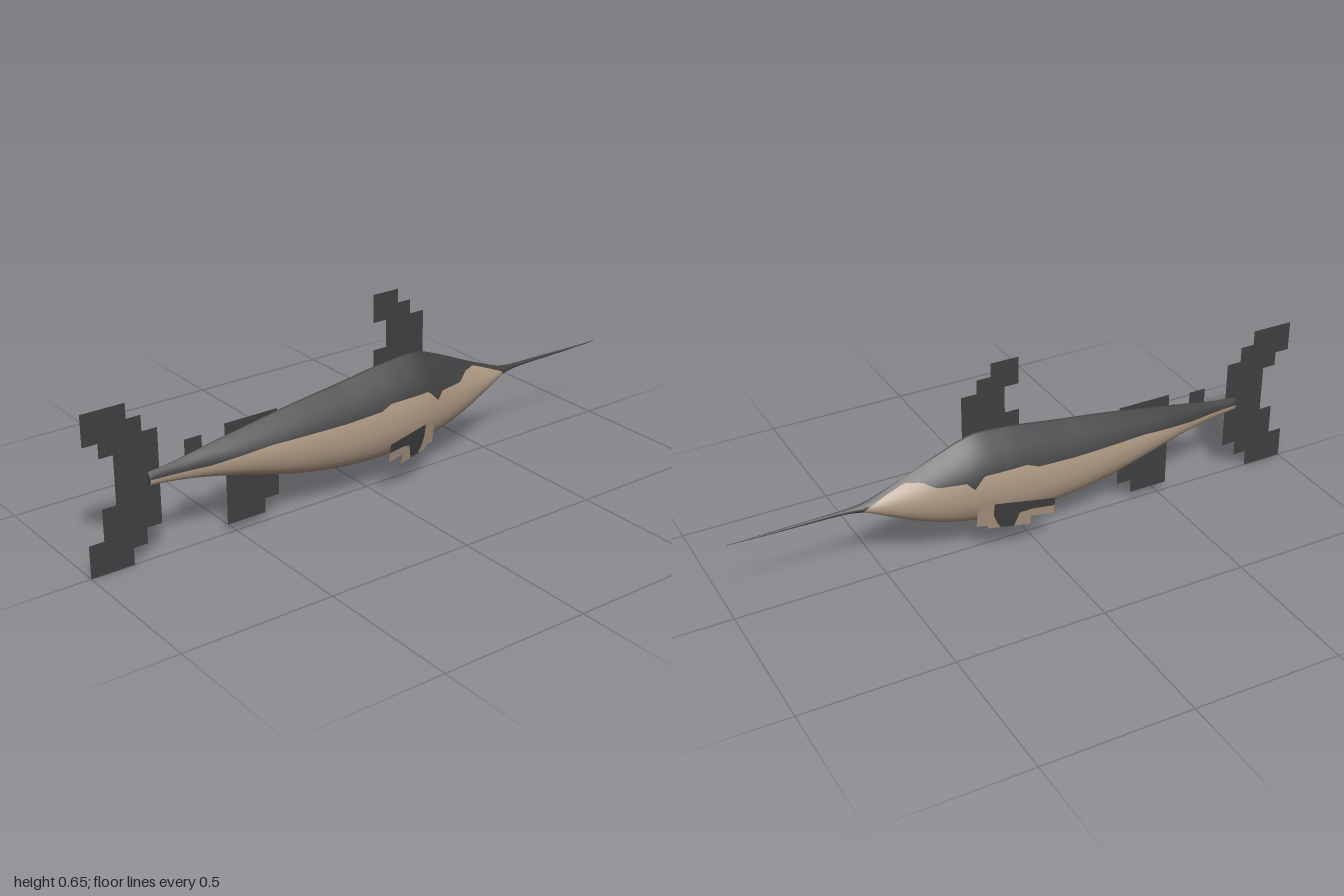
import * as THREE from 'three';

const dark = new THREE.MeshStandardMaterial({ color: 0x3f3f3f, side: THREE.DoubleSide });
dark.name = 'charcoal';
const tan = new THREE.MeshStandardMaterial({ color: 0xaa9580, side: THREE.DoubleSide });
tan.name = 'tan';

// Body stations: x, top, bottom, half width
const stations = [
  [-0.795, 0.285, 0.242, 0.012], [-0.7, 0.297, 0.232, 0.02], [-0.6, 0.315, 0.215, 0.034],
  [-0.5, 0.333, 0.192, 0.05], [-0.4, 0.35, 0.165, 0.063], [-0.3, 0.366, 0.139, 0.074],
  [-0.2, 0.38, 0.12, 0.082], [-0.1, 0.393, 0.107, 0.088], [0, 0.408, 0.102, 0.092],
  [0.1, 0.42, 0.106, 0.094], [0.2, 0.422, 0.118, 0.09], [0.3, 0.388, 0.139, 0.077],
  [0.4, 0.345, 0.175, 0.057], [0.5, 0.305, 0.222, 0.034], [0.56, 0.285, 0.25, 0.018],
  [0.62, 0.278, 0.261, 0.009], [0.72, 0.276, 0.264, 0.006], [0.86, 0.273, 0.266, 0.004],
  [1, 0.271, 0.269, 0.0005],
];

// Line where the dark back meets the tan belly: x, y
const backLine = [
  [-0.8, 0.262], [-0.72, 0.262], [-0.6, 0.262], [-0.4, 0.28], [-0.13, 0.284], [0, 0.292],
  [0.04, 0.308], [0.19, 0.311], [0.225, 0.275], [0.25, 0.299], [0.34, 0.3], [0.38, 0.32],
  [0.43, 0.322], [0.5, 0.294], [0.56, 0.268], [0.59, 0.2], [1, 0.2],
];

function lineAt(x) {
  const i = Math.max(1, backLine.findIndex((p) => p[0] >= x));
  const [a, b] = [backLine[i - 1], backLine[i]];
  return THREE.MathUtils.mapLinear(x, a[0], b[0], a[1], b[1]);
}

// Half width of the pointed-top, round-bottom section at height y
function widthAt(y, top, bottom, w) {
  const mid = bottom + 0.4 * (top - bottom);
  if (y > mid) return w * Math.max(0, 1 - Math.pow((y - mid) / (top - mid), 2.2));
  return w * Math.sqrt(Math.max(0, 1 - Math.pow((mid - y) / (mid - bottom), 2)));
}

function buildBody() {
  const curve = (f) => new THREE.CatmullRomCurve3(stations.map(f), false, 'catmullrom', 0.5);
  const heights = curve((s) => new THREE.Vector3(s[0], s[1], s[2]));
  const widths = curve((s) => new THREE.Vector3(s[0], s[3], 0));
  const rings = 144, nDark = 12, nTan = 12, half = nDark + nTan, n = half * 2;
  const pos = [], darkIdx = [], tanIdx = [];

  for (let i = 0; i <= rings; i++) {
    const { x, y: top, z: bottom } = heights.getPoint(i / rings);
    const w = widths.getPoint(i / rings).y;
    const split = THREE.MathUtils.clamp(lineAt(x), bottom + 0.0005, top - 0.0005);
    const side = [];
    for (let j = 0; j <= half; j++) {
      let y;
      if (j <= nDark) y = top + (split - top) * Math.pow(j / nDark, 1.3);
      else y = bottom + (split - bottom) * (1 - Math.sin(((j - nDark) / nTan) * Math.PI / 2));
      side.push([y, widthAt(y, top, bottom, w)]);
    }
    for (let j = 0; j < n; j++) {
      const [y, z] = side[j <= half ? j : n - j];
      pos.push(x, y, j <= half ? z : -z);
    }
  }
  for (let i = 0; i < rings; i++) {
    for (let j = 0; j < n; j++) {
      const a = i * n + j, b = i * n + (j + 1) % n;
      const list = j < nDark || j >= n - nDark ? darkIdx : tanIdx;
      list.push(a, b, a + n, b, b + n, a + n);
    }
  }
  // Close the tail end
  for (let j = 1; j < n - 1; j++) darkIdx.push(0, j + 1, j);

  const g = new THREE.BufferGeometry();
  g.setAttribute('position', new THREE.Float32BufferAttribute(pos, 3));
  g.setIndex([...darkIdx, ...tanIdx]);
  g.addGroup(0, darkIdx.length, 0);
  g.addGroup(darkIdx.length, tanIdx.length, 1);
  g.computeVertexNormals();
  const mesh = new THREE.Mesh(g, [dark, tan]);
  mesh.name = 'body';
  return mesh;
}

// Flat stepped plate from an outline in x, y
function plate(name, outline, material) {
  const shape = new THREE.Shape(outline.map(([x, y]) => new THREE.Vector2(x, y)));
  const mesh = new THREE.Mesh(new THREE.ShapeGeometry(shape), material);
  mesh.name = name;
  return mesh;
}

// Side fin: the plate leans in below and flares out towards the tail
function sideFin(name, sign) {
  const fin = new THREE.Group();
  fin.name = name;
  const parts = [
    ['finCentre', dark, [[-0.02, 0.21], [0.165, 0.21], [0.165, 0.165], [0.152, 0.13],
      [0.14, 0.112], [0.1, 0.112], [0.085, 0.165], [0.05, 0.175], [-0.02, 0.18]]],
    ['finRearPatch', tan, [[-0.02, 0.18], [0.05, 0.175], [0.085, 0.165], [0.1, 0.112],
      [0.05, 0.112], [0.05, 0.146], [-0.02, 0.146]]],
    ['finFrontPatch', tan, [[0.165, 0.21], [0.215, 0.21], [0.215, 0.125], [0.18, 0.125],
      [0.18, 0.112], [0.14, 0.112], [0.152, 0.13], [0.165, 0.165]]],
  ];
  for (const [part, material, outline] of parts) {
    const mesh = plate(part, outline, material);
    const p = mesh.geometry.attributes.position;
    for (let i = 0; i < p.count; i++) {
      p.setZ(i, sign * (0.153 - 0.3 * (p.getX(i) + 0.02) - 0.16 * (0.21 - p.getY(i))));
    }
    mesh.geometry.computeVertexNormals();
    fin.add(mesh);
  }
  return fin;
}

export function createModel() {
  const model = new THREE.Group();
  model.name = 'billfish';
  model.add(buildBody());

  // Forked tail
  model.add(plate('tailFin', [
    [-1, 0.52], [-0.856, 0.52], [-0.856, 0.47], [-0.808, 0.47], [-0.808, 0.418],
    [-0.757, 0.418], [-0.757, 0.107], [-0.808, 0.107], [-0.808, 0.055], [-0.856, 0.055],
    [-0.856, 0], [-1, 0], [-1, 0.107], [-0.95, 0.107], [-0.95, 0.21], [-0.904, 0.21],
    [-0.904, 0.37], [-0.95, 0.37], [-0.95, 0.418], [-1, 0.418]], dark));

  // Tall back fin
  model.add(plate('dorsalFin', [
    [0.028, 0.651], [0.124, 0.651], [0.124, 0.605], [0.173, 0.605], [0.173, 0.558],
    [0.226, 0.558], [0.226, 0.36], [0.028, 0.36], [0.028, 0.467], [0.077, 0.467],
    [0.077, 0.558], [0.028, 0.558]], dark));

  // Small fins ahead of the tail
  model.add(plate('finlet', [
    [-0.67, 0.353], [-0.61, 0.353], [-0.61, 0.28], [-0.67, 0.28]], dark));
  model.add(plate('rearFin', [
    [-0.53, 0.367], [-0.34, 0.367], [-0.34, 0.077], [-0.392, 0.077], [-0.392, 0.029],
    [-0.53, 0.029]], dark));

  // The head points along +x, so these sit on the +z and -z flanks
  model.add(sideFin('frontPectoralFin', 1), sideFin('backPectoralFin', -1));
  return model;
}
